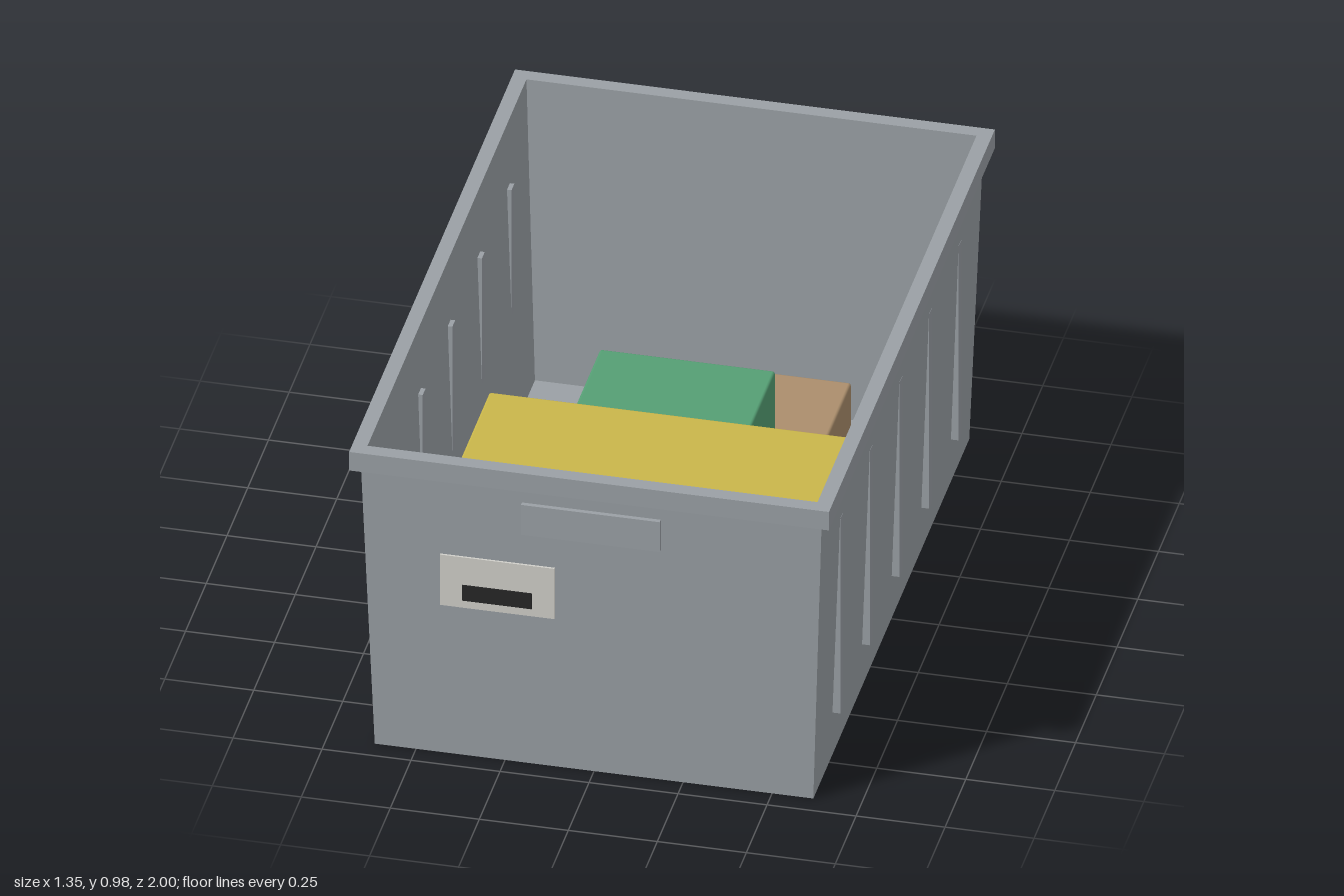
import * as THREE from 'three';
import { RoundedBoxGeometry } from 'three/addons/geometries/RoundedBoxGeometry.js';

// Skin a sequence of rectangles [halfX, y, halfZ]; both ends are capped.
function rectangleLoft(rings) {
  const pos = [];
  const corners = ([x, y, z]) => [[-x, y, z], [x, y, z], [x, y, -z], [-x, y, -z]];
  const quad = (a, b, c, d) => pos.push(...a, ...b, ...c, ...a, ...c, ...d);
  for (let i = 0; i < rings.length - 1; i++) {
    const lo = corners(rings[i]), hi = corners(rings[i + 1]);
    for (let k = 0; k < 4; k++) {
      const n = (k + 1) % 4;
      quad(lo[k], lo[n], hi[n], hi[k]);
    }
  }
  const first = corners(rings[0]), last = corners(rings[rings.length - 1]);
  quad(first[3], first[2], first[1], first[0]);
  quad(...last);
  const geometry = new THREE.BufferGeometry();
  geometry.setAttribute('position', new THREE.Float32BufferAttribute(pos, 3));
  geometry.computeVertexNormals();
  return geometry;
}

export function createModel() {
  const model = new THREE.Group();
  model.name = 'storageBin';

  const material = (name, color) => {
    const m = new THREE.MeshStandardMaterial({ color });
    m.name = name;
    return m;
  };
  const grey = material('grey plastic', 0x9aa0a5);
  const paper = material('label paper', 0xd0cfc9);
  const ink = material('label ink', 0x262626);

  const add = (name, geometry, mat, x = 0, y = 0, z = 0) => {
    const mesh = new THREE.Mesh(geometry, mat);
    mesh.name = name;
    mesh.position.set(x, y, z);
    model.add(mesh);
    return mesh;
  };
  // Box given by its low and high limits on each axis
  const block = (name, mat, [x0, x1], [y0, y1], [z0, z1], bevel = 0) => {
    const size = [x1 - x0, y1 - y0, z1 - z0];
    const geometry = bevel
      ? new RoundedBoxGeometry(...size, 2, bevel)
      : new THREE.BoxGeometry(...size);
    return add(name, geometry, mat, (x0 + x1) / 2, (y0 + y1) / 2, (z0 + z1) / 2);
  };

  // Tapered tub: outer wall, overhanging rim, inner wall and floor
  add('tub', rectangleLoft([
    [0.616, 0, 0.94],
    [0.647, 0.915, 0.973],
    [0.674, 0.915, 1],
    [0.674, 0.975, 1],
    [0.632, 0.975, 0.958],
    [0.602, 0.02, 0.931],
  ]), grey);

  // Upright ribs that pass through the sloping side walls
  for (const side of [-1, 1]) {
    for (let i = -2; i <= 2; i++) {
      add('sideRib', new THREE.BoxGeometry(0.03, 0.63, 0.034), grey,
        side * 0.628, 0.465, i * 0.357);
    }
  }

  // Grip and label on each end
  for (const end of [-1, 1]) {
    add('gripBar', new THREE.BoxGeometry(0.39, 0.097, 0.024), grey, 0, 0.814, end * 0.972);
    add('label', new THREE.BoxGeometry(0.322, 0.163, 0.006), paper, -0.262, 0.587, end * 0.981);
    add('labelPrintedBar', new THREE.BoxGeometry(0.195, 0.05, 0.004), ink, -0.262, 0.555, end * 0.985);
  }

  // Boxes stored on the floor
  const contents = [
    ['brownBox', 0xab8e6c, [-0.322, 0.308], 0.2, [-0.842, -0.48]],
    ['greenBox', 0x559f74, [-0.306, 0.187], 0.467, [-0.445, -0.085]],
    ['yellowBox', 0xc9b64a, [-0.525, 0.552], 0.54, [-0.052, 0.494]],
    ['redBox', 0xc0463e, [-0.553, 0.431], 0.565, [0.53, 0.873]],
  ];
  for (const [name, color, xs, top, zs] of contents) {
    block(name, material(name + ' card', color), xs, [0.02, top], zs, 0.008);
  }
  return model;
}
